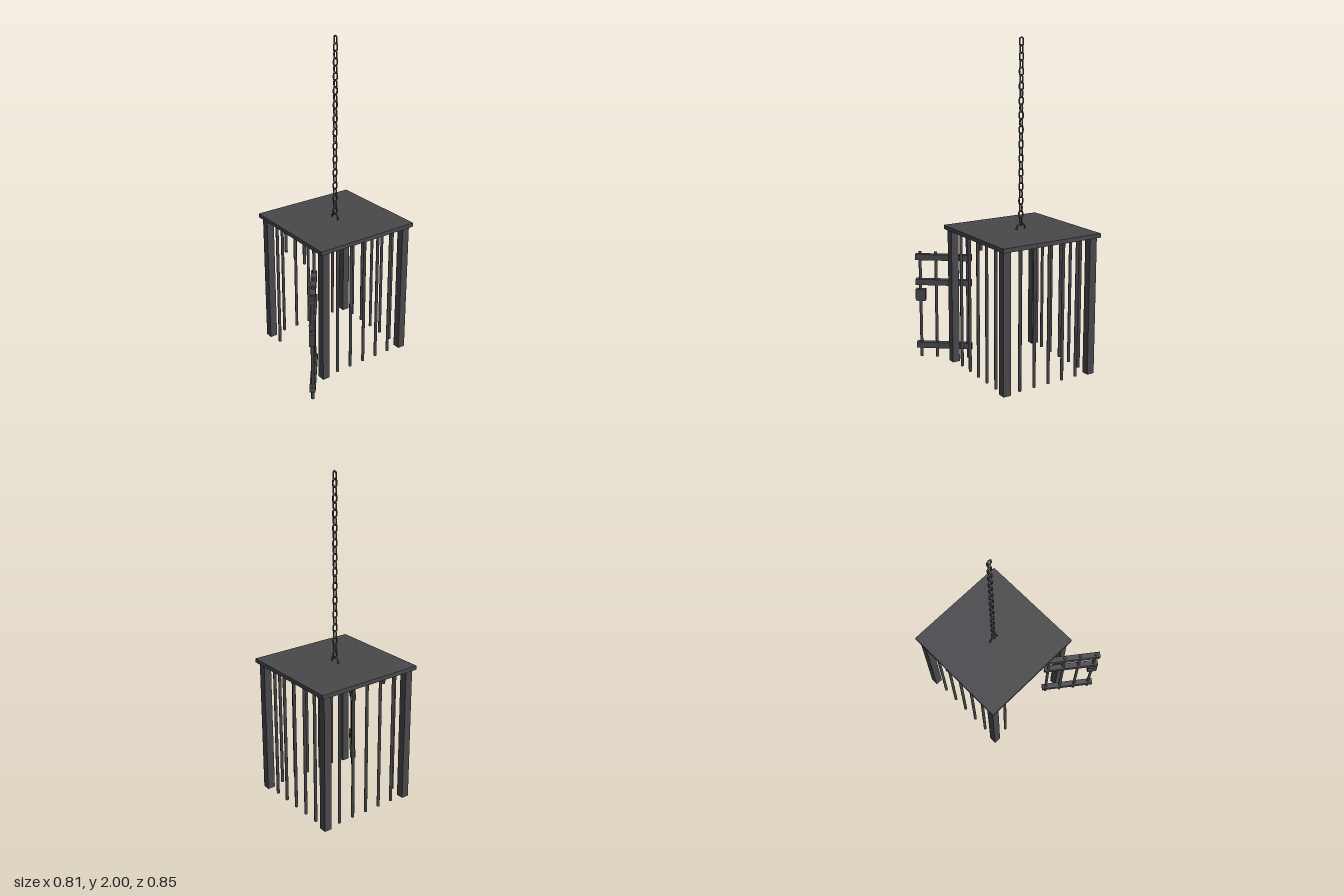
import * as THREE from 'three';

const iron = new THREE.MeshStandardMaterial({ color: 0x48474b });
iron.name = 'dark iron';

const CX = -0.067, CZ = -0.085;   // cage centre
const HALF = 0.298;               // centre to bar line
const STEP = HALF / 3;            // bar spacing
const BAR_TOP = 0.85, DOOR_TOP = 0.69;

function add(parent, name, geometry, x = 0, y = 0, z = 0) {
  const mesh = new THREE.Mesh(geometry, iron);
  mesh.name = name;
  mesh.position.set(x, y, z);
  parent.add(mesh);
  return mesh;
}

// Upright round bar between two heights
function bar(parent, name, x, z, y0, y1) {
  return add(parent, name, new THREE.CylinderGeometry(0.0095, 0.0095, y1 - y0, 12), x, (y0 + y1) / 2, z);
}

// Closed tube along a rounded oblong
function linkGeometry(height, width, wire) {
  const r = width / 2 - wire, s = height / 2 - wire - r;
  const points = [];
  for (let i = 0; i < 16; i++) {
    const a = ((i + 0.5) / 16) * Math.PI * 2;
    points.push(new THREE.Vector3(Math.cos(a) * r, Math.sin(a) * r + (i < 8 ? s : -s), 0));
  }
  return new THREE.TubeGeometry(new THREE.CatmullRomCurve3(points, true), 32, wire, 8, true);
}

export function createModel() {
  const model = new THREE.Group();
  model.name = 'hangingCage';

  // Cage: roof, corner posts and bars
  const cage = new THREE.Group();
  cage.name = 'cage';
  cage.position.set(CX, 0, CZ);
  model.add(cage);
  add(cage, 'roof', new THREE.BoxGeometry(0.674, 0.025, 0.684), 0, 0.8615, 0);
  for (const sx of [-1, 1]) for (const sz of [-1, 1]) {
    add(cage, 'cornerPost', new THREE.BoxGeometry(0.048, BAR_TOP, 0.048), sx * HALF, BAR_TOP / 2, sz * HALF);
  }
  for (let i = -2; i <= 2; i++) {
    const p = i * STEP;
    bar(cage, 'rightBar', -HALF, p, 0, BAR_TOP);
    bar(cage, 'leftBar', HALF, p, 0, BAR_TOP);
    bar(cage, 'backBar', p, -HALF, 0, BAR_TOP);
    // Front bars stop above the doorway
    bar(cage, 'frontBar', p, HALF, i === -2 ? 0 : DOOR_TOP, BAR_TOP);
  }

  // Open door, swung about its hinge bar
  const door = new THREE.Group();
  door.name = 'door';
  door.position.set(2 * STEP, 0, HALF);
  door.rotation.y = -0.651;
  cage.add(door);
  for (let i = 0; i < 4; i++) bar(door, i ? 'doorBar' : 'hingeBar', i * STEP, 0, 0, DOOR_TOP);
  for (const y of [0.079, 0.495, 0.656]) {
    add(door, 'doorRail', new THREE.BoxGeometry(0.353, 0.037, 0.035), 0.15, y, 0);
  }
  add(door, 'lock', new THREE.BoxGeometry(0.062, 0.074, 0.035), 0.2965, 0.41, 0);

  // Roof ring
  const ring = add(cage, 'roofRing', new THREE.TorusGeometry(0.03, 0.0048, 8, 24, Math.PI * 1.2), 0, 0.878, 0);
  ring.rotation.z = -Math.PI * 0.1;

  // Chain of links turned alternately
  const chain = new THREE.Group();
  chain.name = 'chain';
  cage.add(chain);
  const link = linkGeometry(0.056, 0.034, 0.0047);
  for (let i = 0; i < 26; i++) {
    add(chain, 'chainLink', link, 0, 1.972 - i * 0.042, 0).rotation.y = i % 2 ? Math.PI / 2 : 0;
  }
  return model;
}
